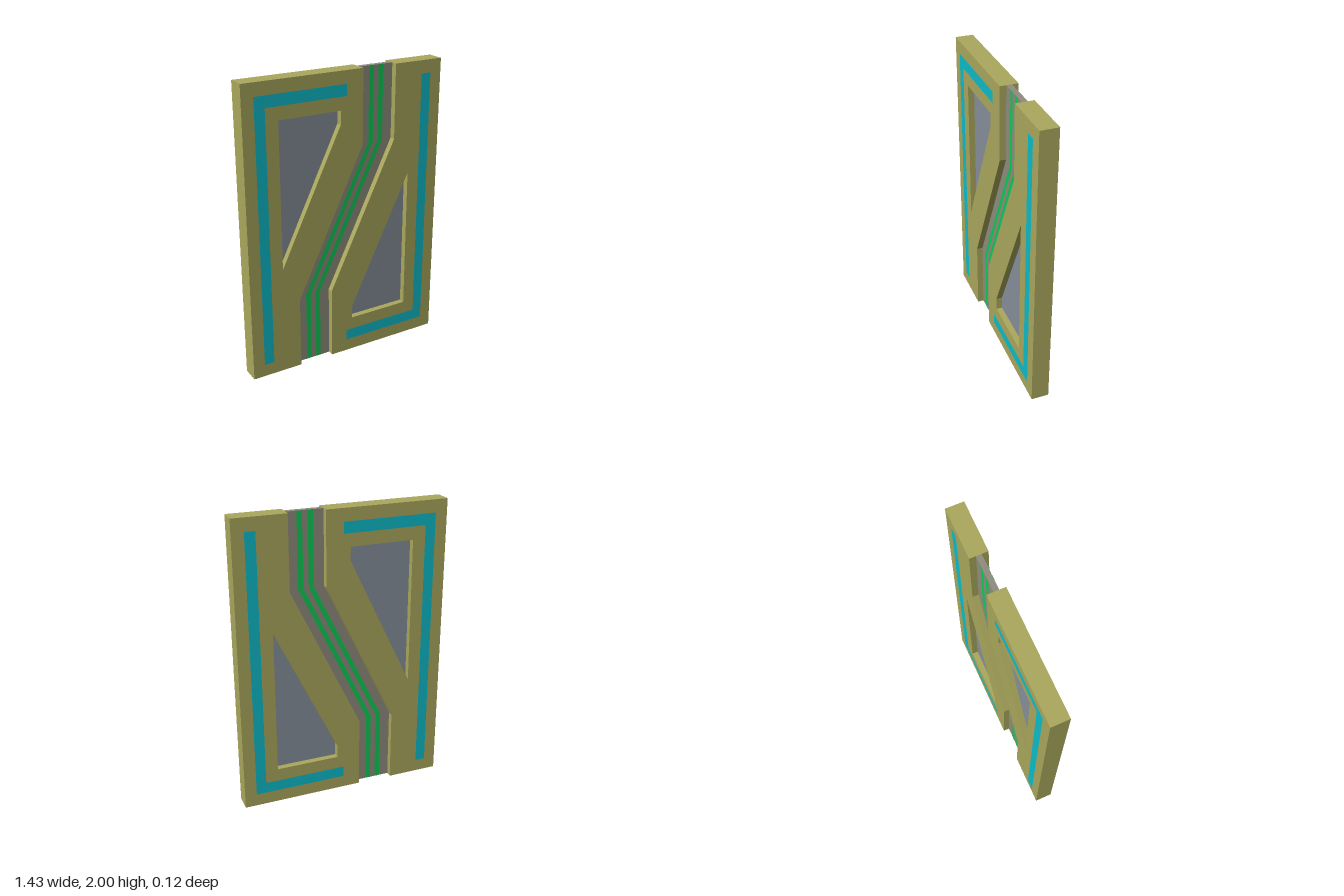
import * as THREE from 'three';

const SLAB = 0.06;    // half thickness of the door leaves
const INSET = 0.018;  // half thickness of the recessed panels
const KNEE = [0.5, 1.5];
const LEAN = 0.24;    // channel centre is at -LEAN below, +LEAN above

const material = (color, side = THREE.FrontSide) =>
  new THREE.MeshStandardMaterial({ color, side, roughness: 0.8, flatShading: true });
const frameMat = material(0xaaa85c);
const channelMat = material(0x8f8d7e);
const glassMat = material(0x87909a);
const cyanMat = material(0x0cbccb, THREE.DoubleSide);
const greenMat = material(0x0ccb55, THREE.DoubleSide);

const toShape = (pts) => new THREE.Shape(pts.map(([x, y]) => new THREE.Vector2(x, y)));

// Line running along the bent channel, offset sideways, bottom to top
const bentLine = (offset) => [
  [offset - LEAN, 0], [offset - LEAN, KNEE[0]],
  [offset + LEAN, KNEE[1]], [offset + LEAN, 2],
];
const bentBand = (a, b) => [...bentLine(b), ...bentLine(a).reverse()];

function slab(name, shape, half, mat) {
  const geometry = new THREE.ExtrudeGeometry(shape, { depth: 2 * half, bevelEnabled: false });
  geometry.translate(0, 0, -half);
  const mesh = new THREE.Mesh(geometry, mat);
  mesh.name = name;
  return mesh;
}

// Flat inlay on the front and back surfaces
function inlay(name, pts, half, mat) {
  const group = new THREE.Group();
  group.name = name;
  for (const side of [1, -1]) {
    const mesh = new THREE.Mesh(new THREE.ShapeGeometry(toShape(pts)), mat);
    mesh.name = name + (side > 0 ? 'Front' : 'Back');
    mesh.position.z = side * (half + 0.001);
    group.add(mesh);
  }
  return group;
}

// One leaf: frame with a window, its pane and the L-shaped strip
function makeLeaf(name) {
  const leaf = new THREE.Group();
  leaf.name = name;
  const windowPts = [[-0.48, 0.755], [-0.046, 1.658], [-0.046, 1.75], [-0.48, 1.75]];
  const frame = toShape([[-0.717, 0], ...bentLine(-0.122), [-0.717, 2]]);
  frame.holes.push(toShape(windowPts));
  leaf.add(slab('frame', frame, SLAB, frameMat));
  leaf.add(slab('windowPane', toShape(windowPts), INSET, glassMat));
  leaf.add(inlay('cornerStrip', [
    [-0.636, 0.087], [-0.566, 0.087], [-0.566, 1.838],
    [0, 1.838], [0, 1.914], [-0.636, 1.914],
  ], SLAB, cyanMat));
  return leaf;
}

export function createModel() {
  const door = new THREE.Group();
  door.name = 'door';

  // The second leaf is the first turned half a turn about the centre
  const rightLeaf = makeLeaf('rightLeaf');
  const leftLeaf = makeLeaf('leftLeaf');
  leftLeaf.rotation.z = Math.PI;
  leftLeaf.position.y = 2;
  door.add(rightLeaf, leftLeaf);

  // Recessed bent channel with two light strips
  door.add(slab('channelPanel', toShape(bentBand(-0.122, 0.122)), INSET, channelMat));
  door.add(inlay('rightLightStrip', bentBand(-0.053, -0.018), INSET, greenMat));
  door.add(inlay('leftLightStrip', bentBand(0.018, 0.053), INSET, greenMat));
  return door;
}
